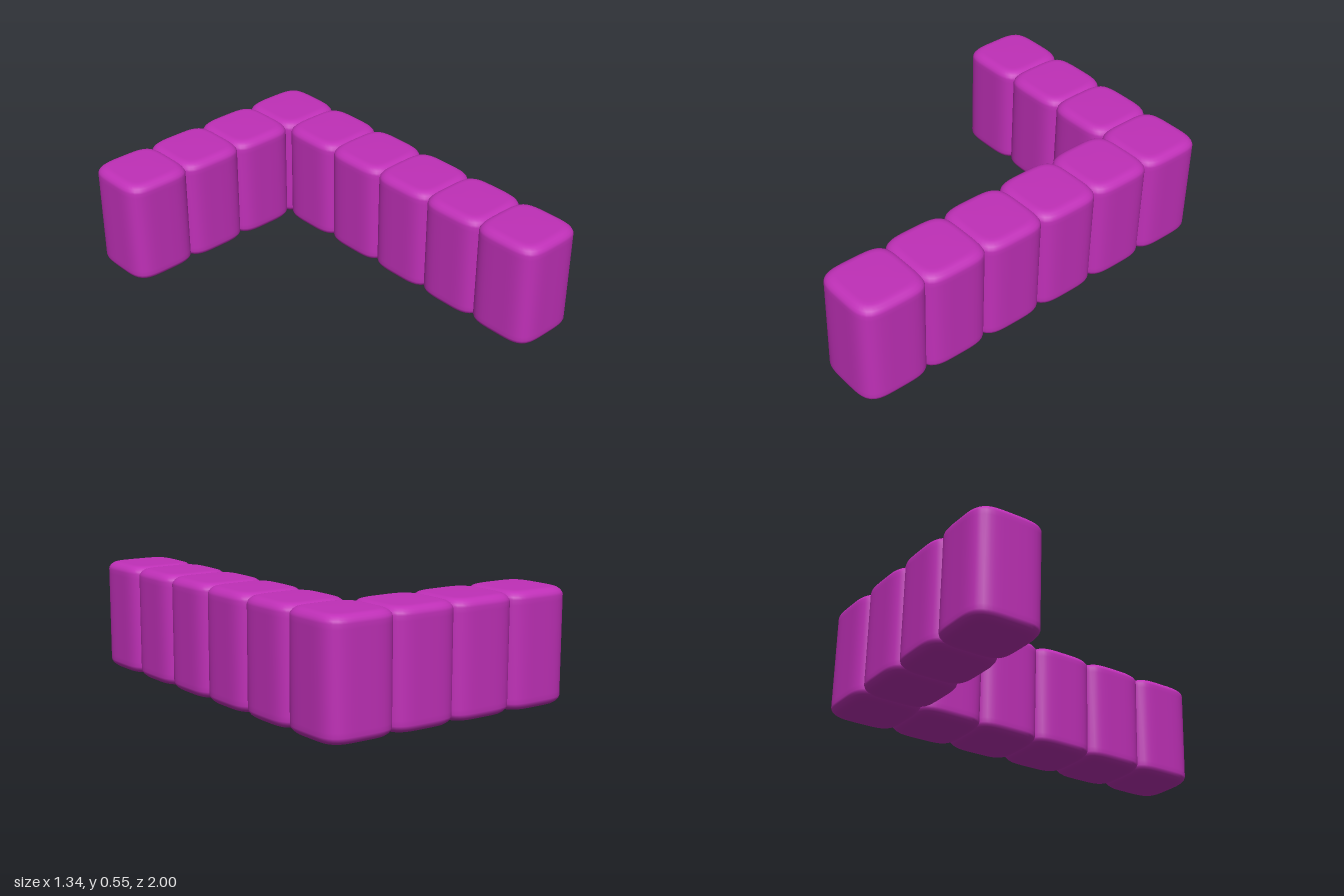
import * as THREE from 'three';
import { mergeVertices } from 'three/addons/utils/BufferGeometryUtils.js';

const HALF = 0.18, HEIGHT = 0.545, PITCH = 0.328;

// Soft-edged pillar: a lathe whose round plan is pushed out to a rounded square
function pillarGeometry() {
  const rim = [[0.13, 0], [0.145, 0.002], [0.158, 0.006], [0.17, 0.016], [0.177, 0.026], [HALF, 0.037]];
  const lower = [[0, 0], ...rim, [HALF, 0.06]];
  const upper = lower.map(([r, y]) => [r, HEIGHT - y]).reverse();
  const points = [...lower, ...upper].map(([r, y]) => new THREE.Vector2(r, y));
  const lathe = new THREE.LatheGeometry(points, 64);

  const pos = lathe.attributes.position, n = 4.3;
  for (let i = 0; i < pos.count; i++) {
    const x = pos.getX(i), z = pos.getZ(i), r = Math.hypot(x, z);
    if (r < 1e-6) continue;
    const k = Math.pow(Math.abs(x / r) ** n + Math.abs(z / r) ** n, -1 / n);
    pos.setX(i, x * k);
    pos.setZ(i, z * k);
  }
  lathe.deleteAttribute('normal');
  lathe.deleteAttribute('uv');
  const geometry = mergeVertices(lathe, 1e-5);
  geometry.computeVertexNormals();
  return geometry;
}

export function createModel() {
  const group = new THREE.Group();
  group.name = 'cornerWall';
  const material = new THREE.MeshStandardMaterial({ color: 0xc030b8 });
  const geometry = pillarGeometry();
  const cornerX = 1.5 * PITCH, cornerZ = -2.5 * PITCH;

  const addPillar = (name, x, z) => {
    const mesh = new THREE.Mesh(geometry, material);
    mesh.name = name;
    mesh.position.set(x, 0, z);
    group.add(mesh);
  };

  // Corner, short back arm and long side arm
  addPillar('cornerPillar', cornerX, cornerZ);
  for (let i = 1; i <= 3; i++) addPillar(`backPillar${i}`, cornerX - i * PITCH, cornerZ);
  for (let i = 1; i <= 5; i++) addPillar(`sidePillar${i}`, cornerX, cornerZ + i * PITCH);
  return group;
}
